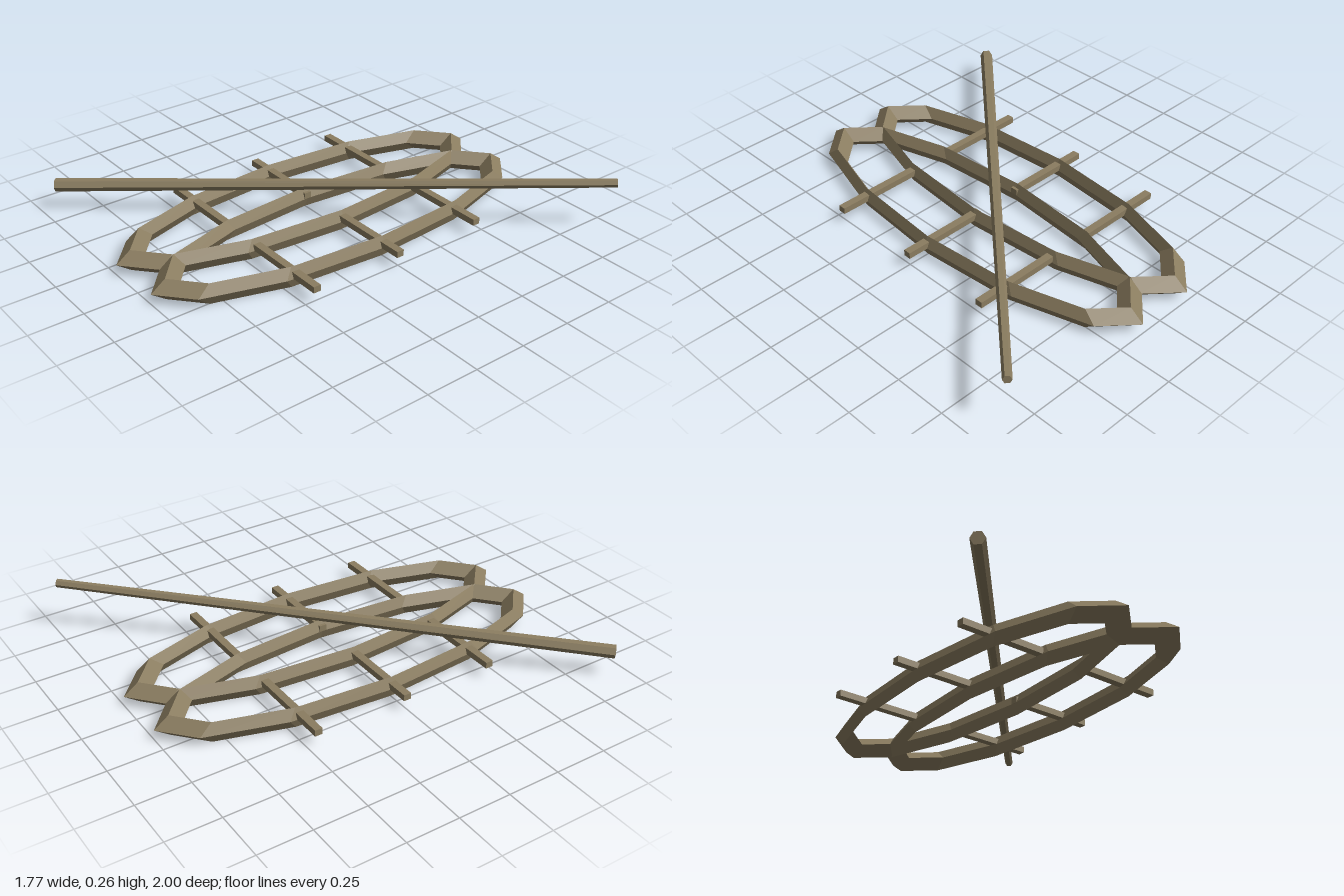
import * as THREE from 'three';

export function createModel() {
  const model = new THREE.Group();
  model.name = 'snowshoesAndPole';

  const wood = new THREE.MeshStandardMaterial({ color: 0x8b7d60, flatShading: true });
  wood.name = 'weathered wood';

  const add = (name, geometry, x = 0, y = 0, z = 0) => {
    const mesh = new THREE.Mesh(geometry, wood);
    mesh.name = name;
    mesh.position.set(x, y, z);
    model.add(mesh);
    return mesh;
  };

  // Two long overlapping hoops: a diamond-section ring squeezed sideways
  const middle = -0.03;
  const hoop = new THREE.TorusGeometry(0.93, 0.07, 4, 12);
  hoop.rotateX(Math.PI / 2);
  hoop.scale(0.302, 0.05 / 0.07, 1);

  // Each hoop carries three crossbars that stick out past its outer edge
  const bar = new THREE.BoxGeometry(0.43, 0.03, 0.036);
  for (const [side, label] of [[-1, 'right'], [1, 'left']]) {
    add(label + 'Hoop', hoop, middle + side * 0.143, 0.05, 0);
    for (const z of [-0.45, 0, 0.45]) {
      add(label + 'Crossbar', bar, middle + side * 0.33, 0.065, z);
    }
  }

  // Tapered six-sided pole lying diagonally across, flat side up
  const thick = new THREE.Vector3(-0.865, 0.12, 0.925);
  const thin = new THREE.Vector3(0.865, 0.24, -0.967);
  const along = thin.clone().sub(thick);
  const length = along.length();
  along.normalize();
  const across = along.clone().cross(new THREE.Vector3(0, 1, 0)).normalize();
  const normal = along.clone().cross(across);
  const pole = add('pole', new THREE.CylinderGeometry(0.02, 0.031, length, 6));
  pole.position.copy(thick).add(thin).multiplyScalar(0.5);
  pole.quaternion.setFromRotationMatrix(new THREE.Matrix4().makeBasis(normal, along, across));

  return model;
}
